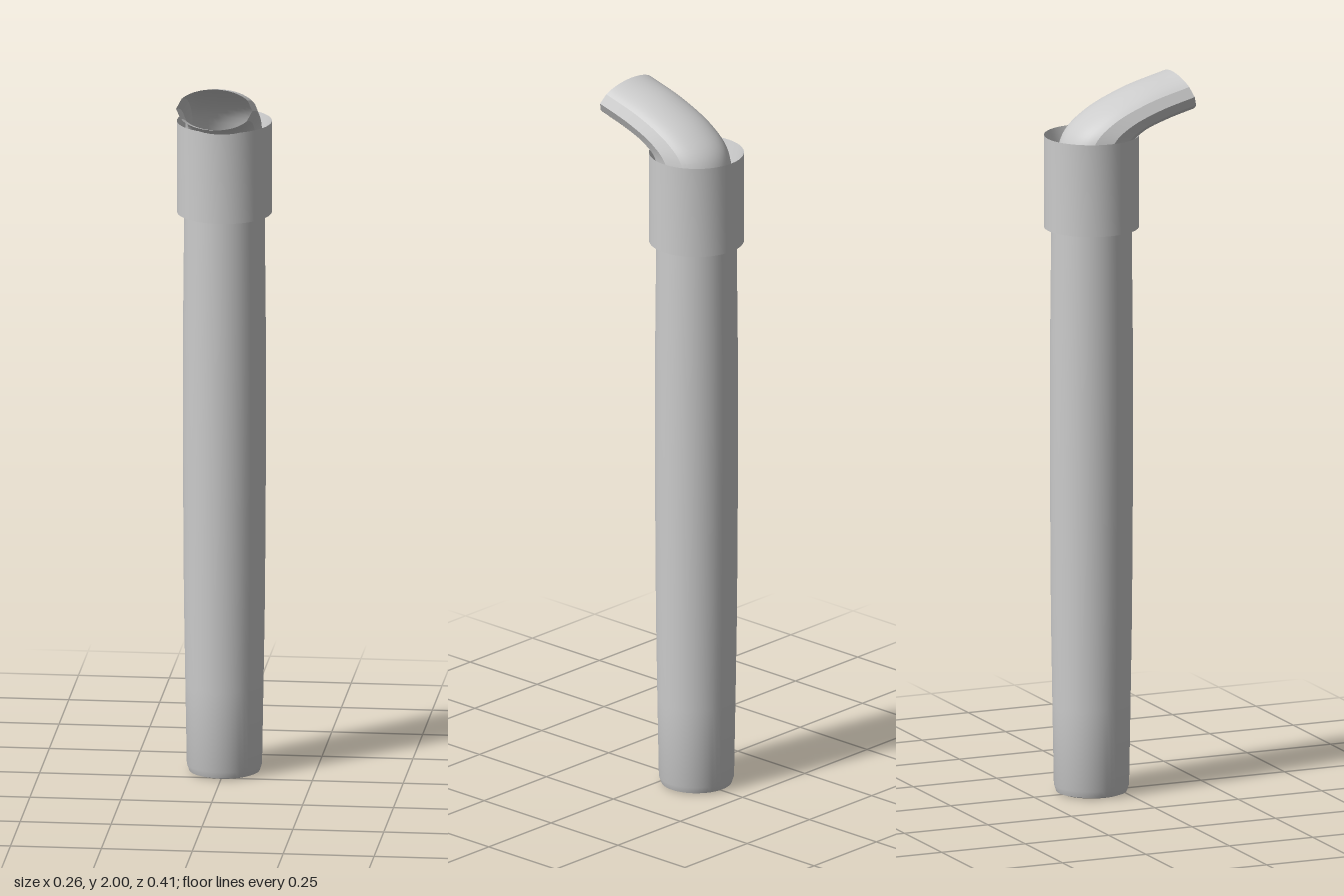
import * as THREE from 'three';
import { toCreasedNormals } from 'three/addons/utils/BufferGeometryUtils.js';

const AXIS_Z = -0.078;
const material = new THREE.MeshStandardMaterial({ color: 0xcccccc, side: THREE.DoubleSide });

// Turned part around the upright axis, from [radius, height] points
function turned(name, points) {
  const lathe = new THREE.LatheGeometry(points.map(([r, y]) => new THREE.Vector2(r, y)), 48);
  const mesh = new THREE.Mesh(toCreasedNormals(lathe, 0.4), material);
  mesh.name = name;
  mesh.position.z = AXIS_Z;
  return mesh;
}

// Bent open spout: a round section that flattens as it curves forward
function spoutGeometry() {
  const curve = (pts) => new THREE.CatmullRomCurve3(pts.map(([z, y]) => new THREE.Vector3(0, y, z)));
  const back = curve([[-0.183, 1.74], [-0.153, 1.846], [-0.09, 1.905], [0.03, 1.962], [0.164, 2.0]]);
  const front = curve([[0.027, 1.74], [0.037, 1.825], [0.07, 1.852], [0.13, 1.874], [0.205, 1.895]]);

  // Section angles: fine arcs above and below, two flat bevels on each side
  const angles = [0];
  for (let i = 0; i <= 16; i++) angles.push(30 + i * 7.5);
  angles.push(180);
  for (let i = 0; i <= 16; i++) angles.push(210 + i * 7.5);

  const steps = 24, n = angles.length, positions = [], index = [];
  for (let s = 0; s <= steps; s++) {
    const b = back.getPoint(s / steps), f = front.getPoint(s / steps);
    const middle = b.clone().add(f).multiplyScalar(0.5);
    const half = b.clone().sub(f).multiplyScalar(0.5);
    for (const degrees of angles) {
      const a = THREE.MathUtils.degToRad(degrees);
      const p = middle.clone().addScaledVector(half, Math.sin(a));
      positions.push(0.105 * Math.cos(a), p.y, p.z);
    }
  }
  for (let s = 0; s < steps; s++) {
    for (let i = 0; i < n; i++) {
      const a = s * n + i, b = s * n + (i + 1) % n;
      index.push(a, b, b + n, a, b + n, a + n);
    }
  }
  const geometry = new THREE.BufferGeometry();
  geometry.setAttribute('position', new THREE.Float32BufferAttribute(positions, 3));
  geometry.setIndex(index);
  return toCreasedNormals(geometry, 0.2);
}

export function createModel() {
  const model = new THREE.Group();
  model.name = 'spoutedTube';

  // Long hollow body, slightly fuller in the middle, with a bevelled lower rim
  model.add(turned('body', [
    [0.082, 1.6], [0.082, 0.004], [0.086, 0], [0.097, 0.004], [0.103, 0.022],
    [0.107, 0.25], [0.111, 0.5], [0.113, 0.8], [0.114, 1.0], [0.113, 1.3], [0.11, 1.6], [0.108, 1.77],
  ]));

  // Collar sleeve, open below, with a funnel inside its top
  model.add(turned('collar', [[0.13, 1.587], [0.13, 1.845], [0.108, 1.77]]));

  const spout = new THREE.Mesh(spoutGeometry(), material);
  spout.name = 'spout';
  model.add(spout);
  return model;
}
